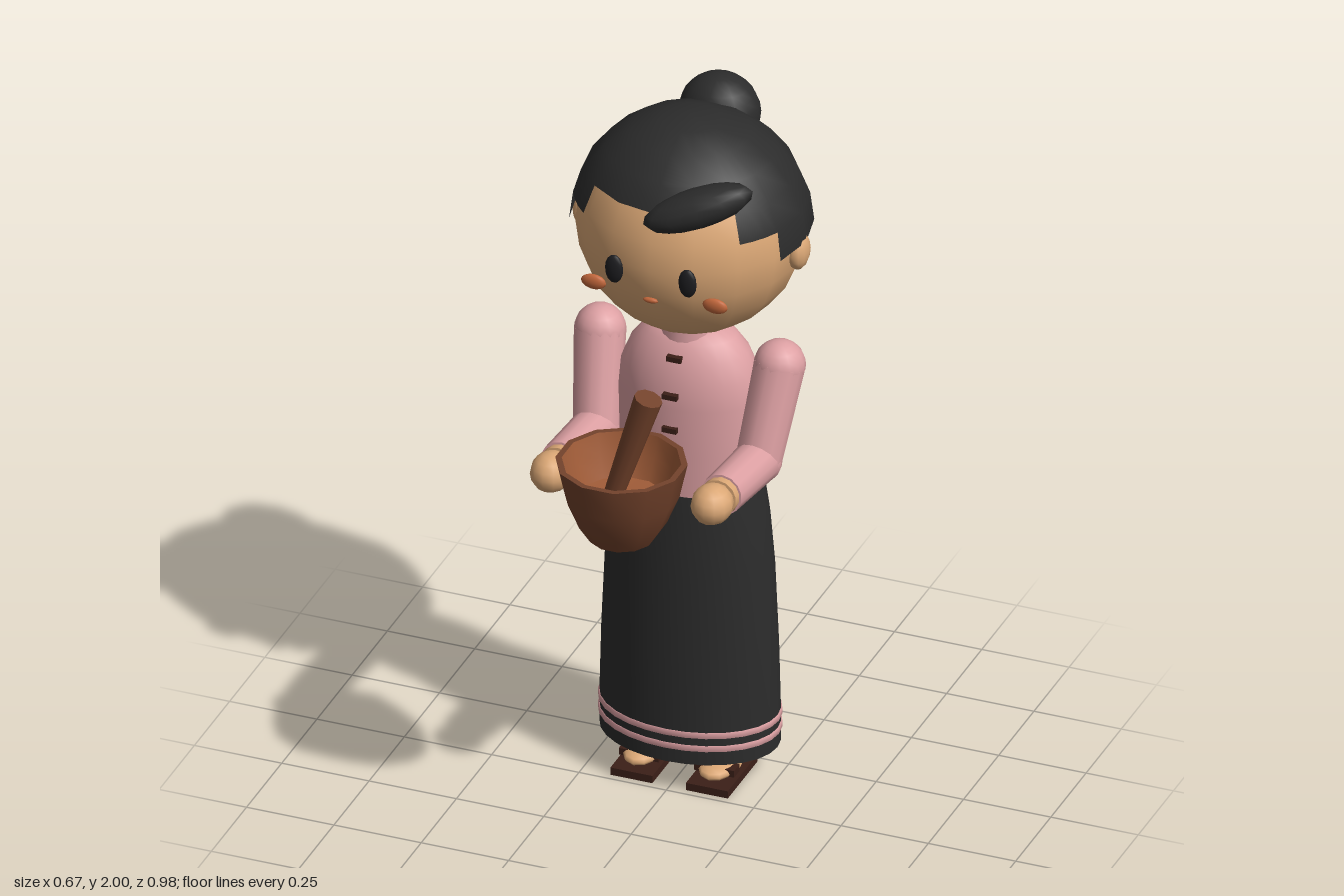
import * as THREE from 'three';
import { toCreasedNormals } from 'three/addons/utils/BufferGeometryUtils.js';

const D = Math.PI / 180;
const mat = (name, color, side = THREE.FrontSide) => {
  const m = new THREE.MeshStandardMaterial({ color, side });
  m.name = name;
  return m;
};
const skin = mat('skin', 0xdca876);
const pink = mat('pink cloth', 0xdda0a3);
const black = mat('black hair and skirt', 0x2c2c2c, THREE.DoubleSide);
const eyeBlack = mat('eye black', 0x1d1d20);
const blush = mat('blush', 0xc4683c);
const wood = mat('dark wood', 0x74432c);
const innerWood = mat('light wood', 0xa05c38);
const leather = mat('sandal brown', 0x3c1f18);

export function createModel() {
  const model = new THREE.Group();
  model.name = 'figureWithMortar';

  const add = (name, geometry, material, x = 0, y = 0, z = 0, parent = model) => {
    const mesh = new THREE.Mesh(geometry, material);
    mesh.name = name;
    mesh.position.set(x, y, z);
    parent.add(mesh);
    return mesh;
  };
  const ball = (rx, ry, rz, w = 16, h = 12) => new THREE.SphereGeometry(1, w, h).scale(rx, ry, rz);
  const lathe = (points, segments, flat = 1) =>
    new THREE.LatheGeometry(points.map(p => new THREE.Vector2(...p)), segments).scale(1, 1, flat);
  // Tapered rod between two points
  const rod = (name, a, b, ra, rb, material, segments = 14) => {
    const p = new THREE.Vector3(...a), q = new THREE.Vector3(...b);
    const mesh = add(name, new THREE.CylinderGeometry(rb, ra, p.distanceTo(q), segments), material);
    mesh.position.copy(p).lerp(q, 0.5);
    mesh.quaternion.setFromUnitVectors(new THREE.Vector3(0, 1, 0), q.sub(p).normalize());
    return mesh;
  };

  // Head and stepped hair cap, given as arcs [from, to, lower edge] in degrees from the front
  const Z = -0.18, HY = 1.665;
  add('head', ball(0.31, 0.308, 0.304), skin, 0, HY, Z);
  const hair = new THREE.Group();
  hair.name = 'hair';
  model.add(hair);
  const arcs = [[-45, 45, 60], [45, 67.5, 75], [67.5, 135, 90], [135, 225, 105], [225, 292.5, 90], [292.5, 315, 75]];
  for (const [from, to, low] of arcs) {
    const cap = new THREE.SphereGeometry(1, (to - from) / 22.5, low / 15, (90 + from) * D, (to - from) * D, 0, low * D);
    add('hairCap', cap.scale(0.328, 0.322, 0.312), black, 0, HY, Z, hair);
  }
  add('bun', ball(0.112, 0.11, 0.1), black, 0, 1.89, -0.38, hair);
  const fringe = add('fringe', ball(0.155, 0.054, 0.062, 12, 8), black, 0.11, 1.845, 0.048, hair);
  fringe.rotation.set(0, 20 * D, 20 * D);

  // Face
  add('mouth', ball(0.022, 0.008, 0.008, 10, 6), blush, 0, 1.572, 0.112);
  for (const s of [1, -1]) {
    add('ear', ball(0.03, 0.055, 0.045, 12, 8), skin, s * 0.306, 1.635, Z);
    add('eye', ball(0.026, 0.042, 0.014, 12, 8), eyeBlack, s * 0.105, 1.645, 0.11);
    add('cheek', ball(0.036, 0.022, 0.012, 12, 8), blush, s * 0.174, 1.577, 0.085);
  }

  // Blouse with collar and buttons
  const bodyZ = -0.17;
  add('blouse', lathe([[0.205, 0.89], [0.204, 1.02], [0.202, 1.16], [0.19, 1.23], [0.165, 1.29],
    [0.13, 1.335], [0.09, 1.365], [0, 1.37]], 24, 0.7), pink, 0, 0, bodyZ);
  add('collar', new THREE.CylinderGeometry(0.08, 0.084, 0.05, 20), pink, 0, 1.36, -0.165);
  [[1.3, -0.058], [1.2, -0.028], [1.1, -0.026], [1.0, -0.024]].forEach(([y, z]) =>
    add('button', new THREE.BoxGeometry(0.042, 0.015, 0.018), leather, 0, y, z));

  // Skirt with two hem stripes
  add('skirt', lathe([[0.25, 0.1], [0.25, 0.2], [0.245, 0.4], [0.234, 0.65], [0.221, 0.8], [0.206, 0.9]], 28, 0.715),
    black, 0, 0, bodyZ);
  for (const y of [0.15, 0.19]) {
    add('hemStripe', lathe([[0.248, y - 0.009], [0.254, y - 0.008], [0.254, y + 0.008], [0.248, y + 0.009]], 28, 0.715),
      pink, 0, 0, bodyZ);
  }

  for (const s of [1, -1]) {
    // Sleeves
    const shoulder = [s * 0.257, 1.28, -0.168], elbow = [s * 0.232, 1.028, -0.08], wrist = [s * 0.23, 1.06, 0.18];
    add('shoulder', ball(0.07, 0.07, 0.07), pink, ...shoulder);
    rod('upperSleeve', shoulder, elbow, 0.07, 0.063, pink);
    add('elbow', ball(0.064, 0.064, 0.064), pink, ...elbow);
    rod('lowerSleeve', elbow, wrist, 0.063, 0.058, pink);
    // Hands
    rod('wrist', wrist, [s * 0.23, 1.063, 0.205], 0.052, 0.052, skin);
    add('hand', ball(0.057, 0.056, 0.064, 12, 8), skin, s * 0.23, 1.068, 0.245);
    // Legs and sandals
    const x = s * 0.108;
    add('leg', new THREE.CylinderGeometry(0.058, 0.058, 0.2, 14), skin, x, 0.19, -0.165);
    add('foot', ball(0.055, 0.023, 0.096, 12, 8), skin, x, 0.047, -0.125);
    add('sandalSole', new THREE.BoxGeometry(0.12, 0.022, 0.21), leather, x, 0.016, -0.125);
    add('sandalStrap', new THREE.BoxGeometry(0.114, 0.02, 0.04), leather, x, 0.05, -0.092);
  }

  // Mortar and pestle
  const mortar = new THREE.Group();
  mortar.name = 'mortar';
  mortar.position.z = 0.318;
  mortar.rotation.y = 15 * D;
  model.add(mortar);
  const bowl = lathe([[0, 0.96], [0.09, 0.96], [0.122, 1.01], [0.155, 1.09], [0.177, 1.19], [0.16, 1.19]], 12);
  add('mortarBowl', toCreasedNormals(bowl, 40 * D), wood, 0, 0, 0, mortar);
  const hollow = lathe([[0.16, 1.19], [0.145, 1.13], [0.122, 1.07], [0, 1.06]], 12);
  add('mortarHollow', toCreasedNormals(hollow, 40 * D), innerWood, 0, 0, 0, mortar);
  rod('pestle', [-0.03, 1.06, 0.318], [0.077, 1.397, 0.318], 0.026, 0.039, wood, 10);

  return model;
}
